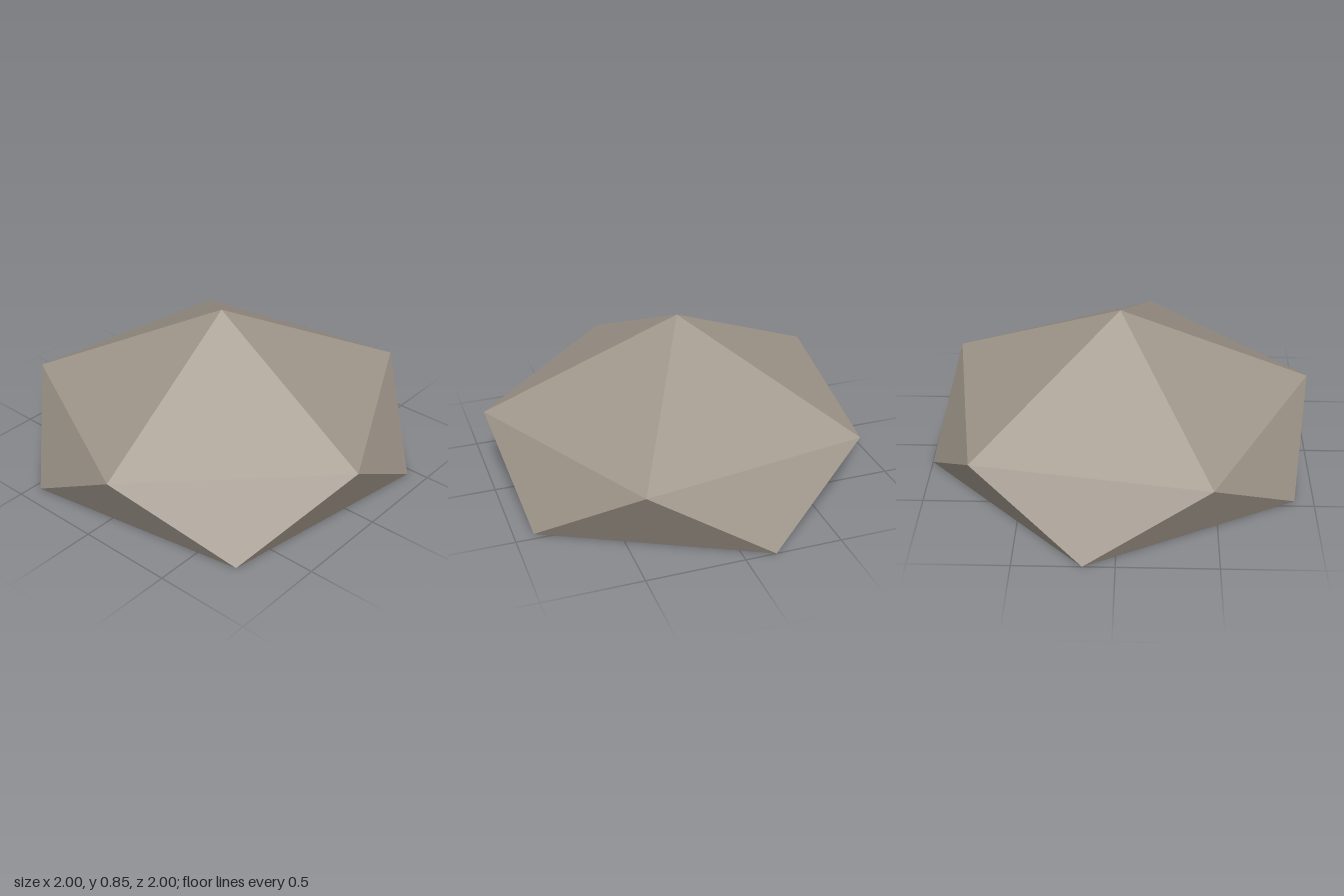
import * as THREE from 'three';

// Low-poly boulder: a pointed cap over a twisted five-sided band, cut flat at the ground.
const SIDES = 5;
const RADIUS = 1.0125;

function ring(y, startDegrees) {
  return Array.from({ length: SIDES }, (_, i) => {
    const a = THREE.MathUtils.degToRad(startDegrees + (i * 360) / SIDES);
    return new THREE.Vector3(RADIUS * Math.cos(a), y, RADIUS * Math.sin(a));
  });
}

export function createModel() {
  const stone = new THREE.MeshStandardMaterial({ color: 0xa0978b, flatShading: true });
  stone.name = 'stone';

  const apex = new THREE.Vector3(0, 0.85, 0);
  const centre = new THREE.Vector3(0, 0, 0);
  const upper = ring(0.38, 9);
  const lower = ring(0, 45);

  const corners = [];
  for (let i = 0; i < SIDES; i++) {
    const j = (i + 1) % SIDES;
    corners.push(apex, upper[j], upper[i]); // cap
    corners.push(upper[i], upper[j], lower[i]); // band, pointing down
    corners.push(lower[j], lower[i], upper[j]); // band, pointing up
    corners.push(centre, lower[i], lower[j]); // flat base
  }
  const geometry = new THREE.BufferGeometry().setFromPoints(corners);
  geometry.computeVertexNormals();

  const boulder = new THREE.Mesh(geometry, stone);
  boulder.name = 'boulder';

  const group = new THREE.Group();
  group.name = 'rock';
  group.add(boulder);
  return group;
}
